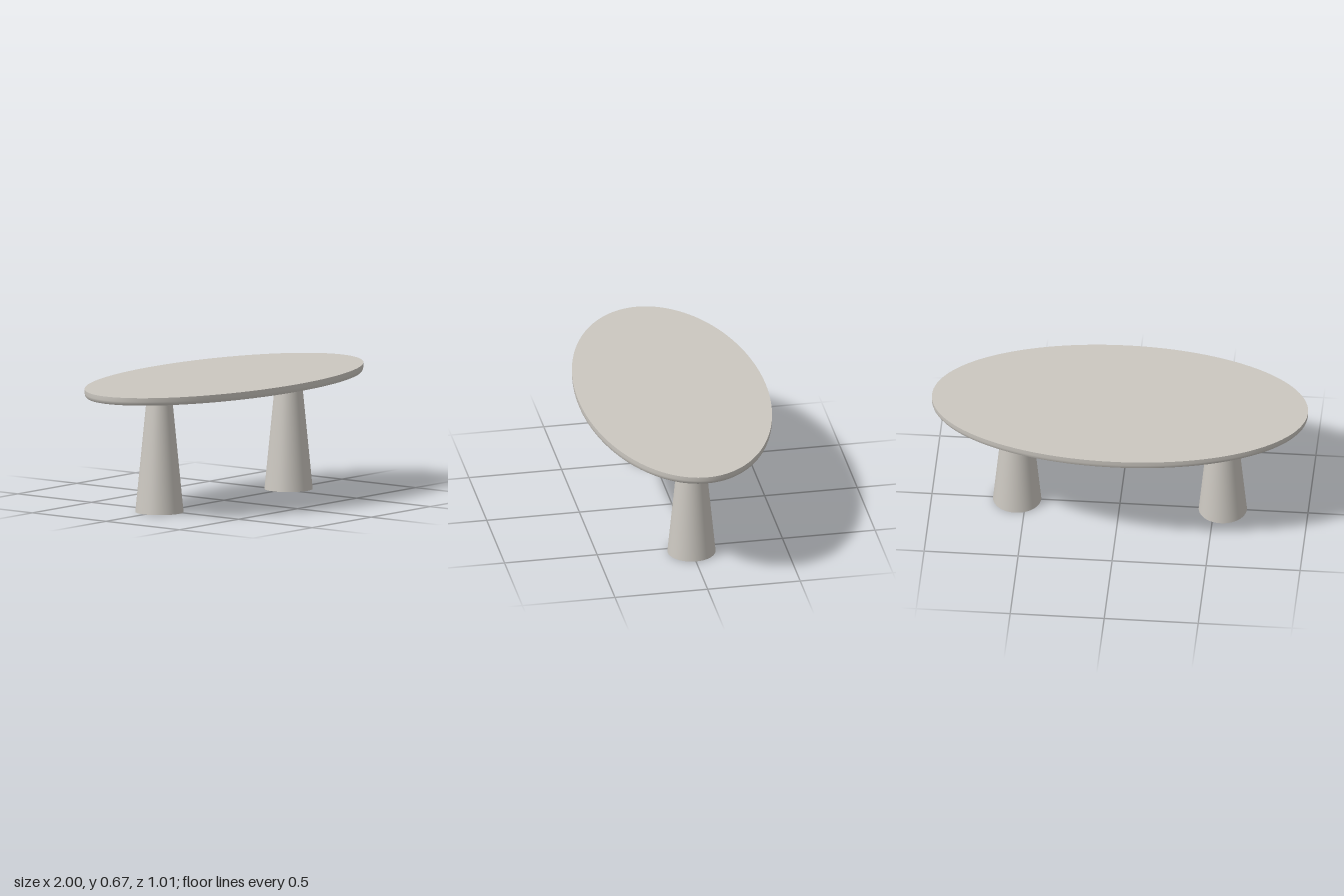
import * as THREE from 'three';

const TOP_Y = 0.668, UNDER_Y = 0.627;

export function createModel() {
  const stone = new THREE.MeshStandardMaterial({ color: 0xcbc7c0 });
  stone.name = 'warm grey stone';
  const table = new THREE.Group();
  table.name = 'ovalTable';

  // Oval top: a turned disc squashed in z; repeated points keep its edges sharp
  const profile = [
    [0, UNDER_Y], [0.99, UNDER_Y], [0.99, UNDER_Y],
    [0.997, 0.636], [1, 0.647], [1, TOP_Y], [1, TOP_Y], [0, TOP_Y],
  ].map(([r, y]) => new THREE.Vector2(r, y));
  const topGeometry = new THREE.LatheGeometry(profile, 128);
  topGeometry.scale(1, 1, 0.505);
  const top = new THREE.Mesh(topGeometry, stone);
  top.name = 'tableTop';
  table.add(top);

  // Two tapered round legs
  const legGeometry = new THREE.CylinderGeometry(0.066, 0.128, UNDER_Y, 64);
  for (const side of [-1, 1]) {
    const leg = new THREE.Mesh(legGeometry, stone);
    leg.name = side > 0 ? 'leftLeg' : 'rightLeg';
    leg.position.set(side * 0.547, UNDER_Y / 2, 0);
    table.add(leg);
  }
  return table;
}
